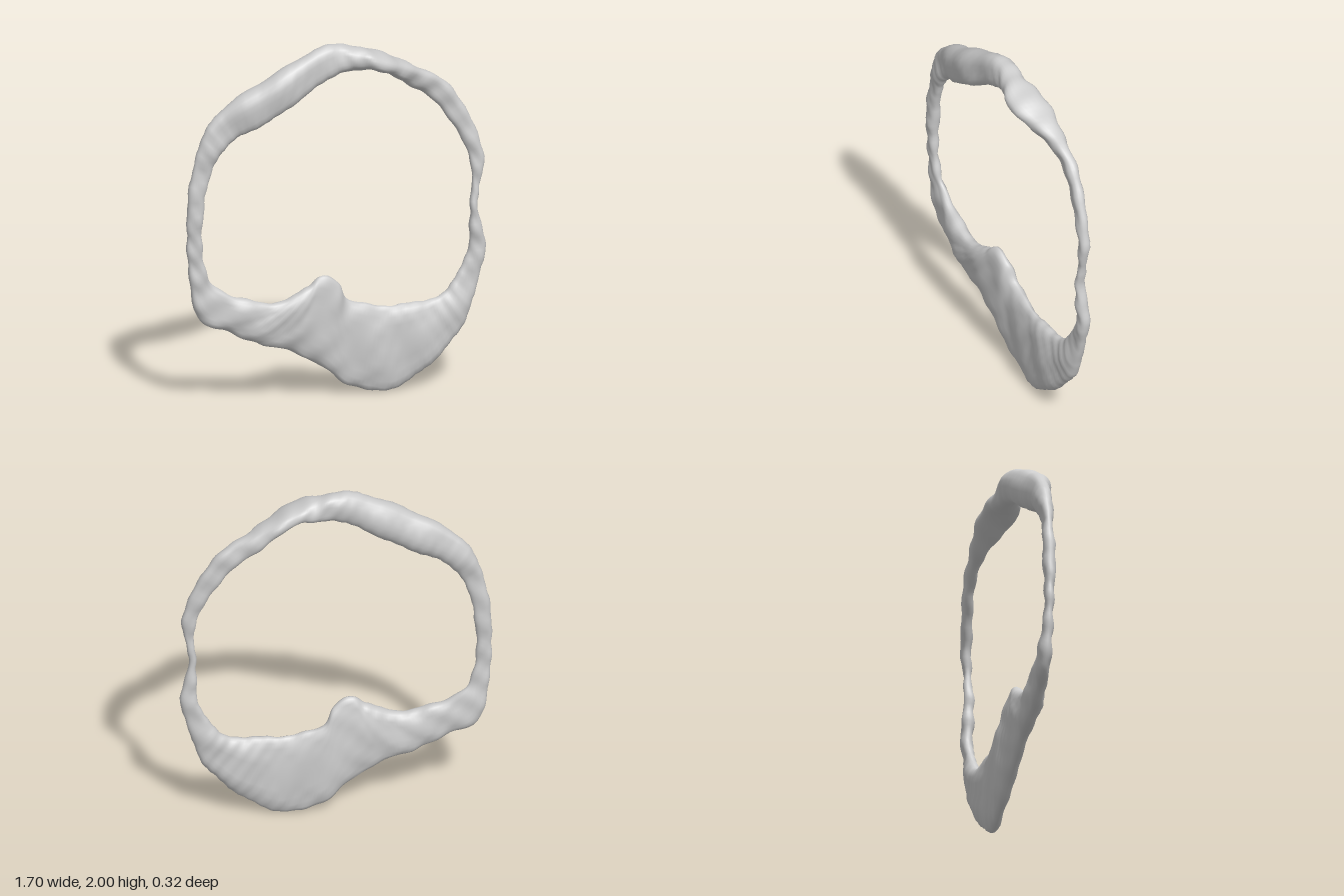
import * as THREE from 'three';

// Stations clockwise from the top: outer x, y, inner x, y, depth z, half thickness
const STATIONS = [
  // upper arch, right
  [-0.06, 1.99, -0.02, 1.815, 0.015, 0.06],
  [0.12, 1.97, 0.12, 1.835, -0.005, 0.075],
  [0.28, 1.91, 0.25, 1.83, -0.025, 0.10],
  [0.53, 1.78, 0.44, 1.70, -0.105, 0.05],
  [0.69, 1.64, 0.60, 1.56, -0.13, 0.03],
  // right side
  [0.84, 1.30, 0.76, 1.28, -0.125, 0.028],
  [0.81, 1.00, 0.77, 1.00, -0.11, 0.027],
  [0.85, 0.75, 0.755, 0.75, -0.12, 0.03],
  [0.76, 0.41, 0.65, 0.55, -0.10, 0.04],
  // broad lower plate
  [0.65, 0.24, 0.55, 0.50, -0.08, 0.05],
  [0.49, 0.09, 0.42, 0.48, -0.06, 0.055],
  [0.30, 0.00, 0.28, 0.485, -0.045, 0.05],
  [0.09, 0.045, 0.08, 0.53, -0.03, 0.05],
  [-0.06, 0.165, 0.02, 0.64, 0.0, 0.05],
  // small knob
  [-0.18, 0.23, -0.08, 0.69, 0.02, 0.05],
  [-0.28, 0.29, -0.15, 0.64, 0.035, 0.055],
  [-0.48, 0.355, -0.31, 0.57, 0.06, 0.05],
  // left corner and side
  [-0.63, 0.43, -0.52, 0.60, 0.075, 0.045],
  [-0.77, 0.51, -0.67, 0.68, 0.08, 0.035],
  [-0.82, 0.74, -0.73, 0.79, 0.095, 0.03],
  [-0.84, 1.02, -0.755, 1.04, 0.10, 0.03],
  [-0.79, 1.42, -0.69, 1.36, 0.095, 0.033],
  // upper arch, left
  [-0.66, 1.66, -0.57, 1.51, 0.08, 0.05],
  [-0.36, 1.85, -0.35, 1.62, 0.07, 0.08],
];

const STEPS = 240;
const SIDES = 24;

const closedCurve = (pick) =>
  new THREE.CatmullRomCurve3(STATIONS.map((s) => new THREE.Vector3(...pick(s))), true, 'catmullrom');

// Rounded-slab cosine or sine
const soft = (v) => Math.sign(v) * Math.abs(v) ** 0.85;

// Gentle irregular relief
const relief = (x, y, z) =>
  0.004 * Math.sin(23 * x + 11 * y + 9 * z) +
  0.003 * Math.sin(37 * y - 19 * x + 30 * z) +
  0.002 * Math.sin(71 * x + 53 * y);

function bandGeometry() {
  const outer = closedCurve(([x, y, , , z]) => [x, y, z]);
  const inner = closedCurve(([, , x, y, z]) => [x, y, z]);
  const depth = closedCurve((s) => [s[5], 0, 0]);
  const positions = [];
  const index = [];

  for (let i = 0; i < STEPS; i++) {
    const t = i / STEPS;
    const o = outer.getPoint(t);
    const n = inner.getPoint(t);
    const half = depth.getPoint(t).x;
    const centre = o.clone().add(n).multiplyScalar(0.5);
    const across = o.clone().sub(n).multiplyScalar(0.5);
    for (let j = 0; j < SIDES; j++) {
      const a = (j / SIDES) * Math.PI * 2;
      const p = centre.clone().addScaledVector(across, soft(Math.cos(a)));
      p.z += half * soft(Math.sin(a));
      const bump = relief(p.x, p.y, p.z);
      p.addScaledVector(across.clone().normalize(), bump * Math.cos(a));
      p.z += bump * 1.3 * Math.sin(a);
      positions.push(p.x, Math.max(p.y, 0), p.z);

      // Join this ring to the next
      const i2 = (i + 1) % STEPS;
      const j2 = (j + 1) % SIDES;
      const [A, B, C, D] = [i * SIDES + j, i * SIDES + j2, i2 * SIDES + j, i2 * SIDES + j2];
      index.push(A, B, C, B, D, C);
    }
  }

  const geometry = new THREE.BufferGeometry();
  geometry.setAttribute('position', new THREE.Float32BufferAttribute(positions, 3));
  geometry.setIndex(index);
  geometry.computeVertexNormals();
  return geometry;
}

export function createModel() {
  const group = new THREE.Group();
  group.name = 'irregularRing';
  const band = new THREE.Mesh(bandGeometry(), new THREE.MeshStandardMaterial({ color: 0xcccccc }));
  band.name = 'ringBand';
  group.add(band);
  return group;
}
